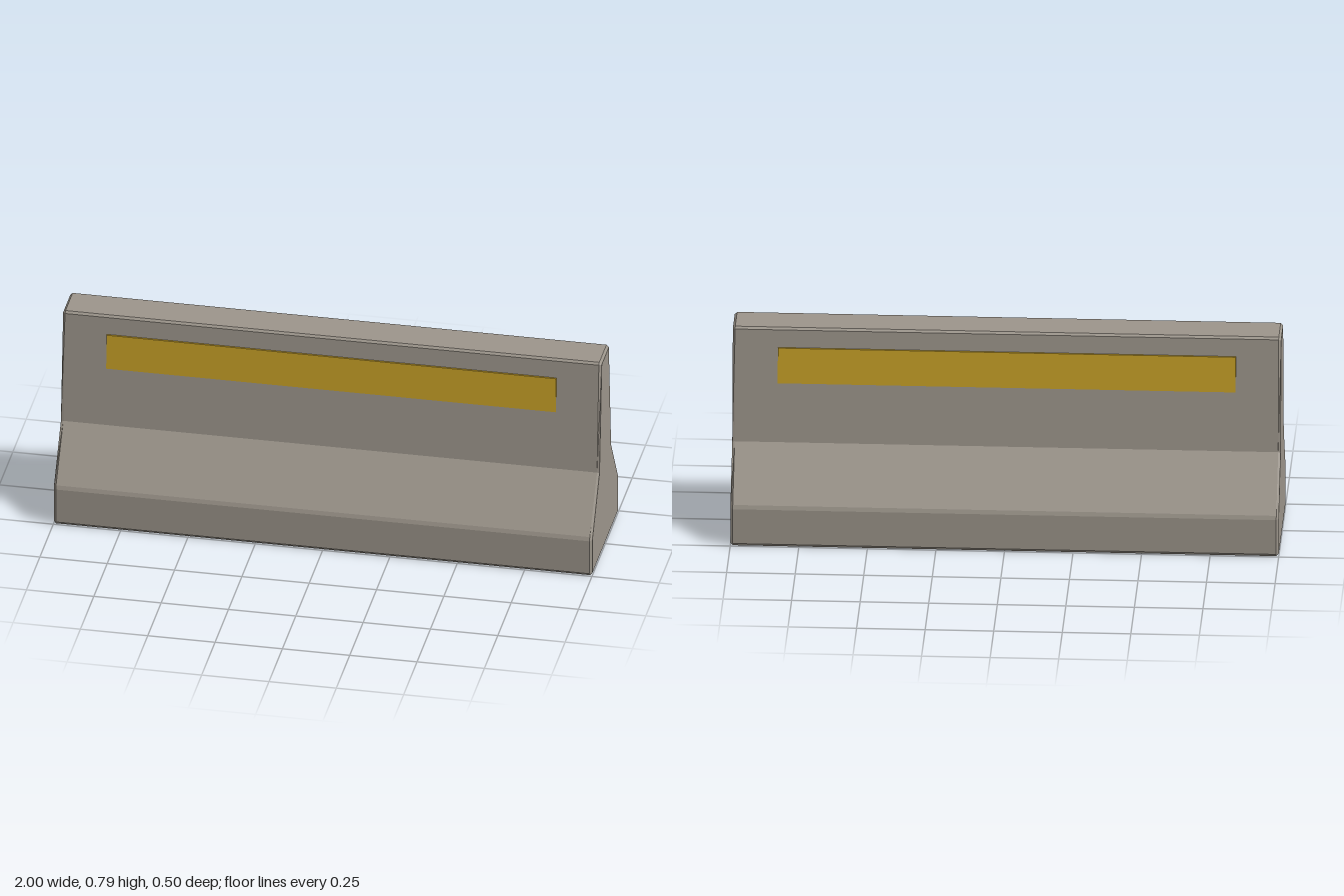
import * as THREE from 'three';

// Closed outline from the right half (bottom to top), mirrored in z: [z, y]
const mirror = (half) => [...half, ...half.slice().reverse().map(([z, y]) => [-z, y])];

// Solid skinned through matching outlines placed along x, capped at both ends
function loft(sections) {
  const pos = [];
  const tri = (a, b, c) => {
    const area = b.clone().sub(a).cross(c.clone().sub(a)).length();
    if (area > 1e-9) for (const p of [a, b, c]) pos.push(p.x, p.y, p.z);
  };
  const rings = sections.map(([x, loop]) => loop.map(([z, y]) => new THREE.Vector3(x, y, z)));
  const n = rings[0].length;
  for (let s = 0; s < rings.length - 1; s++) {
    for (let i = 0; i < n; i++) {
      const j = (i + 1) % n, A = rings[s], B = rings[s + 1];
      tri(A[i], B[i], B[j]);
      tri(A[i], B[j], A[j]);
    }
  }
  // End caps, filled in strips between the mirrored halves
  const first = rings[0], last = rings[rings.length - 1];
  for (let i = 0; i < n / 2 - 1; i++) {
    const a = i, b = i + 1, c = n - 2 - i, d = n - 1 - i;
    tri(last[a], last[d], last[c]);
    tri(last[a], last[c], last[b]);
    tri(first[a], first[c], first[d]);
    tri(first[a], first[b], first[c]);
  }
  const g = new THREE.BufferGeometry();
  g.setAttribute('position', new THREE.Float32BufferAttribute(pos, 3));
  g.computeVertexNormals();
  return g;
}

export function createModel() {
  const group = new THREE.Group();
  group.name = 'roadBarrier';
  const concrete = new THREE.MeshStandardMaterial({ name: 'concrete grey', color: 0x9b948a });
  const yellow = new THREE.MeshStandardMaterial({ name: 'reflector yellow', color: 0xc9a227 });

  // Concrete body with chamfered edges
  const outer = mirror([[0.241, 0], [0.249, 0.01], [0.249, 0.145], [0.244, 0.16],
    [0.109, 0.355], [0.075, 0.784], [0.067, 0.792]]);
  const inner = mirror([[0.241, 0.01], [0.241, 0.01], [0.241, 0.147], [0.241, 0.147],
    [0.108, 0.353], [0.066, 0.783], [0.066, 0.783]]);
  const body = new THREE.Mesh(loft([[-1, inner], [-0.991, outer], [0.991, outer], [1, inner]]), concrete);
  body.name = 'barrierBody';
  group.add(body);

  // Reflective strip on each long face
  const strip = new THREE.Shape([[0.08, 0.58], [0.0915, 0.58], [0.087, 0.717], [0.078, 0.717]]
    .map(([z, y]) => new THREE.Vector2(z, y)));
  const stripGeo = new THREE.ExtrudeGeometry(strip, { depth: 1.67, bevelEnabled: false });
  stripGeo.translate(0, 0, -0.835).rotateY(-Math.PI / 2);
  for (const side of ['front', 'back']) {
    const mesh = new THREE.Mesh(stripGeo, yellow);
    mesh.name = side + 'Strip';
    if (side === 'back') mesh.rotation.y = Math.PI;
    group.add(mesh);
  }
  return group;
}
